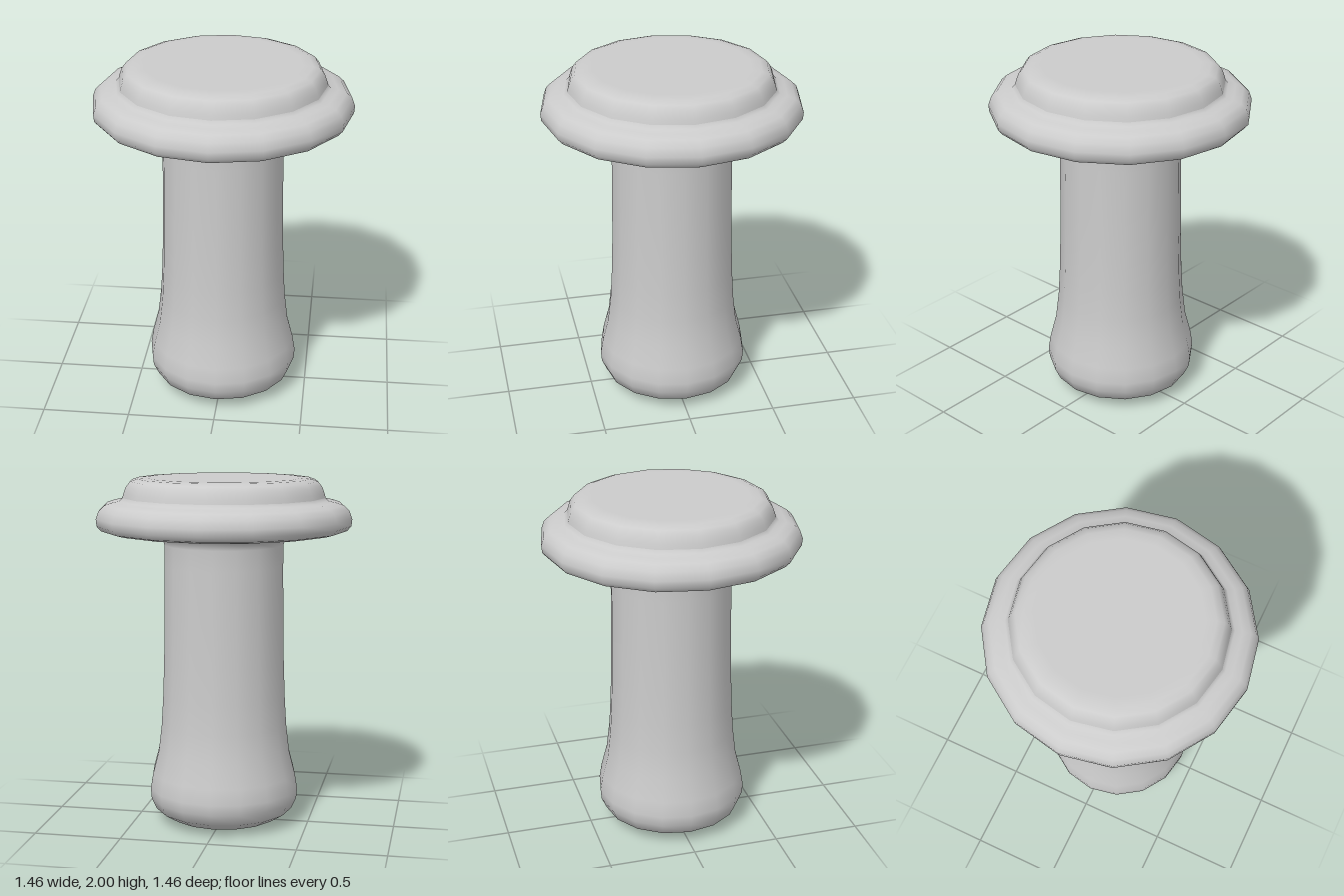
import * as THREE from 'three';

const SIDES = 16;

export function createModel() {
  const group = new THREE.Group();
  const material = new THREE.MeshStandardMaterial({ color: 0xcccccc });

  // Each part is a smooth 16-sided turning of [radius, height] points, bottom to top
  const turn = (name, profile) => {
    const points = profile.map(([r, y]) => new THREE.Vector2(r, y));
    const mesh = new THREE.Mesh(new THREE.LatheGeometry(points, SIDES), material);
    mesh.name = name;
    group.add(mesh);
  };

  // Handle: rounded foot, bulge, long waist and a small fillet under the flange
  turn('handle', [
    [0, 0], [0.2, 0.005], [0.32, 0.025], [0.4, 0.075], [0.43, 0.14], [0.435, 0.2],
    [0.42, 0.29], [0.386, 0.42], [0.367, 0.58], [0.357, 0.75], [0.35, 0.95],
    [0.345, 1.2], [0.342, 1.5], [0.342, 1.62], [0.35, 1.65], [0.37, 1.67],
  ]);

  // Flange: wide disc with a rounded rim, its top running in under the cap
  turn('flange', [
    [0.34, 1.668], [0.37, 1.67], [0.52, 1.682], [0.65, 1.695], [0.7, 1.708], [0.724, 1.735],
    [0.728, 1.775], [0.712, 1.82], [0.68, 1.85], [0.635, 1.865],
    [0.595, 1.873], [0.578, 1.89], [0.571, 1.91],
  ]);

  // Cap: raised button with a softened top edge
  turn('cap', [
    [0.578, 1.89], [0.571, 1.915], [0.558, 1.95], [0.535, 1.98],
    [0.495, 1.994], [0.44, 1.998], [0, 2],
  ]);

  return group;
}
